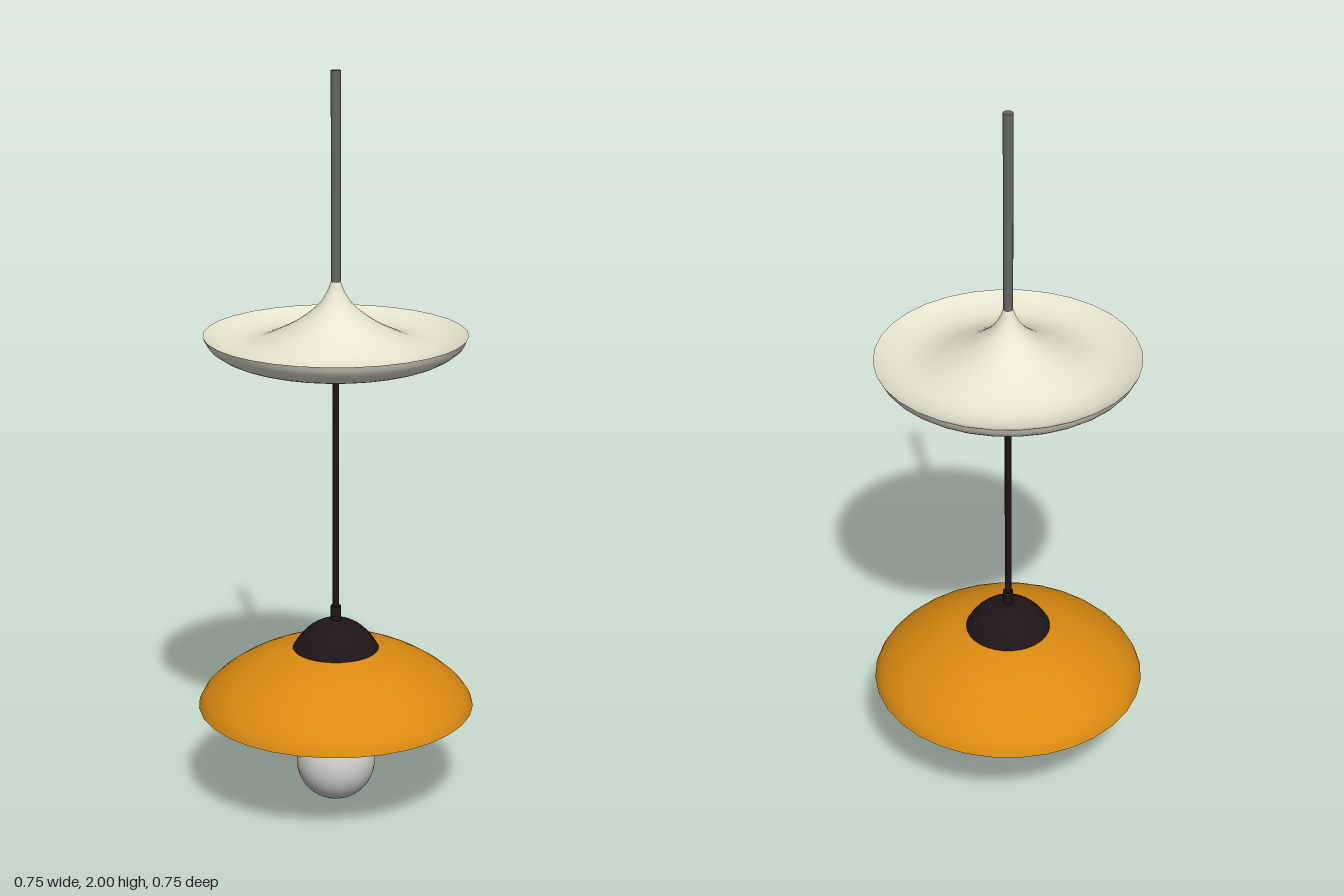
import * as THREE from 'three';

const SIDES = 32;

const paint = (color) => new THREE.MeshStandardMaterial({ color, side: THREE.DoubleSide });

export function createModel() {
  const group = new THREE.Group();
  const cream = paint(0xe6e4cf), orange = paint(0xd98a10), black = paint(0x1e1517);
  const steel = paint(0x666666), grey = paint(0xcccccc);

  // Turns a smooth curve through [radius, height] points; list them so the outside is on the right
  function turned(name, points, material) {
    const curve = new THREE.SplineCurve(points.map(([r, y]) => new THREE.Vector2(r, y)));
    const profile = curve.getPoints((points.length - 1) * 4);
    profile.forEach((p) => { p.x = Math.max(p.x, 0); });
    const mesh = new THREE.Mesh(new THREE.LatheGeometry(profile, SIDES), material);
    mesh.name = name;
    group.add(mesh);
  }

  function rod(name, radius, y0, y1, material) {
    const mesh = new THREE.Mesh(new THREE.CylinderGeometry(radius, radius, y1 - y0, 16), material);
    mesh.position.y = (y0 + y1) / 2;
    mesh.name = name;
    group.add(mesh);
  }

  // Hanging rod, cable and its two ferrules
  rod('hangingRod', 0.013, 1.44, 2, steel);
  rod('cable', 0.009, 0.5, 1.235, black);
  rod('upperFerrule', 0.014, 1.19, 1.235, black);
  rod('lowerFerrule', 0.014, 0.51, 0.56, black);

  // Upper dish: shallow bowl below, swept cone above
  turned('dishUnderside', [[0, 1.23], [0.1, 1.231], [0.2, 1.238], [0.28, 1.256], [0.33, 1.285], [0.348, 1.315]], cream);
  turned('dishTop', [[0.348, 1.315], [0.31, 1.297], [0.26, 1.288], [0.21, 1.296], [0.16, 1.317],
    [0.1, 1.35], [0.05, 1.39], [0.025, 1.425], [0.012, 1.457]], cream);

  // Lower shade with a flat rim underneath
  turned('shade', [[0.375, 0.28], [0.36, 0.308], [0.32, 0.347], [0.26, 0.387], [0.19, 0.42], [0.11, 0.442]], orange);
  turned('shadeRim', [[0.31, 0.28], [0.375, 0.28]], orange);

  // Dark cap on the shade
  turned('cap', [[0.118, 0.438], [0.1, 0.467], [0.07, 0.497], [0.035, 0.516], [0, 0.521]], black);

  // Reflector: rises inside the rim, then sweeps down to the bulb
  turned('reflector', [[0.06, 0.197], [0.072, 0.205], [0.12, 0.245], [0.18, 0.28], [0.23, 0.3],
    [0.27, 0.302], [0.31, 0.28]], grey);

  // Bulb
  const bulb = new THREE.Mesh(new THREE.SphereGeometry(0.108, SIDES, 24), grey);
  bulb.position.y = 0.108;
  bulb.name = 'bulb';
  group.add(bulb);

  return group;
}
